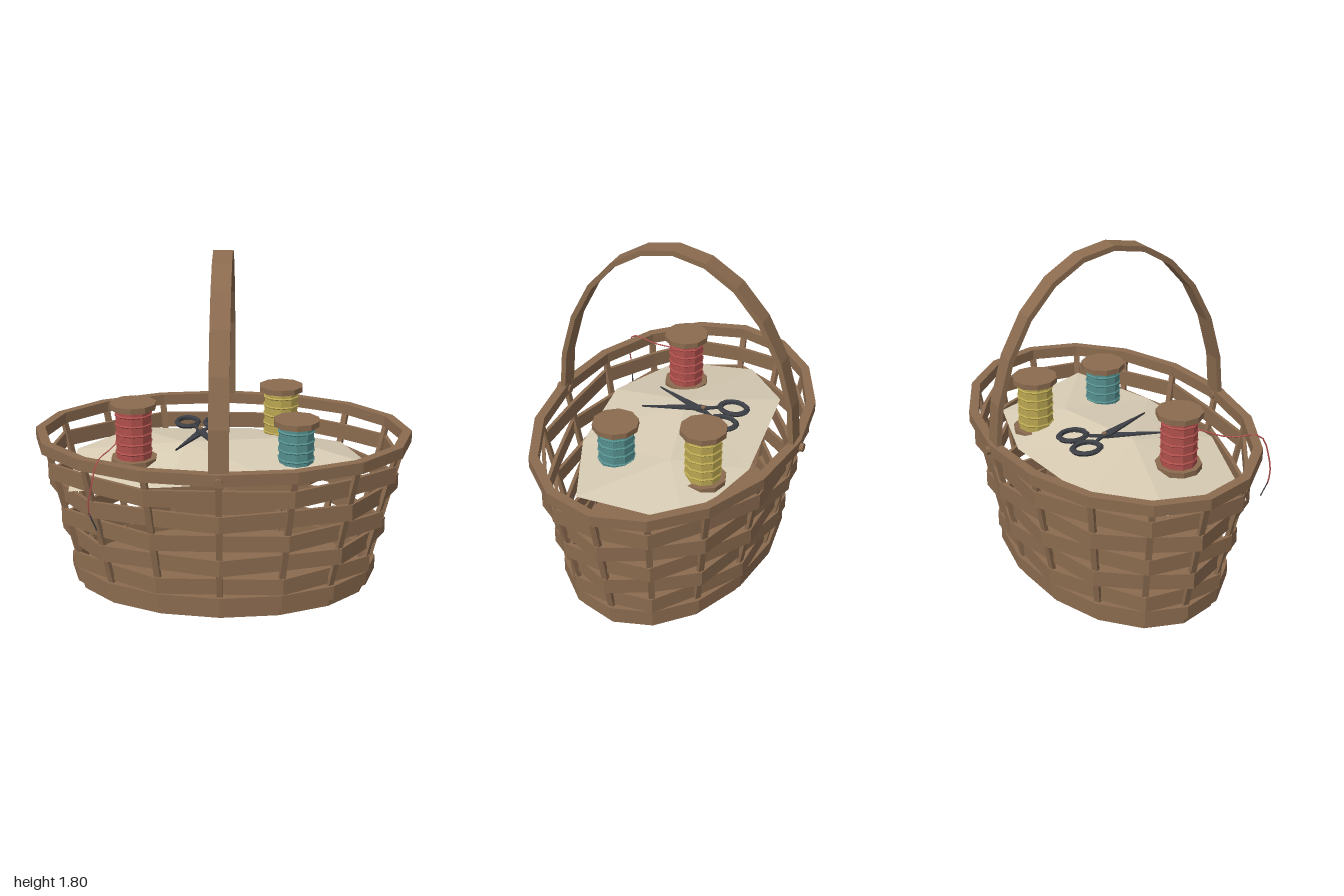
import * as THREE from 'three';

const SIDES = 16;

const mat = (name, color) => {
  const m = new THREE.MeshStandardMaterial({ color, flatShading: true });
  m.name = name;
  return m;
};

// Point list of a 16-sided oval; offset(i) pushes each corner in or out
function oval(rx, rz, offset = () => 0) {
  return Array.from({ length: SIDES }, (_, i) => {
    const a = (i / SIDES) * Math.PI * 2, o = offset(i);
    return new THREE.Vector2((rx + o) * Math.cos(a), (rz + o) * Math.sin(a));
  });
}

// Upright oval wall between y0 and y1, solid when there is no thickness
function ovalBand(rx, rz, y0, y1, thickness, offset) {
  const shape = new THREE.Shape(oval(rx, rz, offset));
  if (thickness) shape.holes.push(new THREE.Path(oval(rx - thickness, rz - thickness, offset)));
  const g = new THREE.ExtrudeGeometry(shape, { depth: y1 - y0, bevelEnabled: false });
  return g.rotateX(-Math.PI / 2).translate(0, y0, 0);
}

export function createModel() {
  const wood = mat('wood', 0x8b6b4f);
  const red = mat('red thread', 0xb0504c);
  const yellow = mat('yellow thread', 0xbba752);
  const teal = mat('teal thread', 0x55908f);
  const linen = mat('linen', 0xd8ccb4);
  linen.side = THREE.DoubleSide;
  const iron = mat('dark iron', 0x3c3f45);

  const model = new THREE.Group();
  model.name = 'sewingBasket';
  const add = (name, geometry, material, parent = model) => {
    const m = new THREE.Mesh(geometry, material);
    m.name = name;
    parent.add(m);
    return m;
  };

  // Base, foot band and rim
  add('base', ovalBand(0.795, 0.525, 0, 0.055), wood);
  add('footBand', ovalBand(0.83, 0.56, 0.05, 0.125, 0.04), wood);
  add('rim', ovalBand(1, 0.7, 0.785, 0.845, 0.05), wood);

  // Woven bands, passing in and out of alternate stakes
  [0.178, 0.307, 0.437, 0.563, 0.692].forEach((y, row) => {
    const weave = i => ((i + row) % 2 ? 0.021 : -0.021);
    add('wovenBand', ovalBand(0.782 + 0.24 * y, 0.517 + 0.2 * y, y - 0.043, y + 0.043, 0.02, weave), wood);
  });

  // Leaning stakes at every corner
  for (let i = 0; i < SIDES; i++) {
    const a = (i / SIDES) * Math.PI * 2;
    const at = y => new THREE.Vector3((0.772 + 0.24 * y) * Math.cos(a), y, (0.507 + 0.2 * y) * Math.sin(a));
    const low = at(0.04), high = at(0.81);
    const up = high.clone().sub(low);
    const length = up.length();
    up.normalize();
    const out = new THREE.Vector3(Math.cos(a) / 0.9, 0, Math.sin(a) / 0.62).normalize();
    const side = up.clone().cross(out).normalize();
    const stake = add('stake', new THREE.BoxGeometry(0.032, length, 0.022), wood);
    stake.quaternion.setFromRotationMatrix(new THREE.Matrix4().makeBasis(side, up, side.clone().cross(up)));
    stake.position.copy(low).add(high).multiplyScalar(0.5);
  }

  // Arched handle
  const arch = (rx, ry) => Array.from({ length: 13 }, (_, i) => {
    const a = (i / 12) * Math.PI;
    return new THREE.Vector2(rx * Math.cos(a), 0.8 + ry * Math.sin(a));
  });
  const archShape = new THREE.Shape([...arch(0.68, 1), ...arch(0.652, 0.972).reverse()]);
  const archGeometry = new THREE.ExtrudeGeometry(archShape, { depth: 0.1, bevelEnabled: false });
  add('handle', archGeometry.translate(0, 0, -0.05).rotateY(Math.PI / 2), wood);
  for (const s of [1, -1]) {
    add('handlePeg', new THREE.CylinderGeometry(0.023, 0.023, 0.08, 8).rotateX(Math.PI / 2), wood)
      .position.set(0, 0.808, s * 0.678);
  }

  // Folded cloth lining: eight corners around two peaks
  const cloth = new THREE.BufferGeometry();
  cloth.setAttribute('position', new THREE.Float32BufferAttribute([
    -0.80, 0.68, -0.12, -0.52, 0.71, -0.40, 0.14, 0.69, -0.476, 0.65, 0.66, -0.34,
    0.76, 0.73, 0.20, 0.30, 0.71, 0.41, -0.25, 0.70, 0.49, -0.78, 0.62, 0.36,
    -0.20, 0.78, 0.03, 0.32, 0.76, -0.11,
  ], 3));
  const faces = [8, 9, 2, 8, 5, 9];
  for (const i of [5, 6, 7, 0, 1]) faces.push(8, (i + 1) % 8, i);
  for (const i of [2, 3, 4]) faces.push(9, i + 1, i);
  cloth.setIndex(faces);
  cloth.computeVertexNormals();
  add('cloth', cloth, linen);

  // Thread spools
  const spool = (name, x, top, z, thread) => {
    const g = new THREE.Group();
    g.name = name;
    g.position.set(x, top - 0.325, z);
    model.add(g);
    for (const y of [0.015, 0.31]) {
      add('flange', new THREE.CylinderGeometry(0.122, 0.122, 0.03, 10), wood, g).position.y = y;
    }
    add('threadCore', new THREE.CylinderGeometry(0.094, 0.094, 0.27, 10), thread, g).position.y = 0.163;
    for (let i = 0; i < 5; i++) {
      const ring = new THREE.TorusGeometry(0.094, 0.006, 4, 10).rotateX(Math.PI / 2).rotateY(Math.PI / 10 * 5);
      add('threadWinding', ring, thread, g).position.y = 0.065 + i * 0.05;
    }
  };
  spool('redSpool', -0.46, 1.035, 0.15, red);
  spool('yellowSpool', 0.31, 1.005, -0.29, yellow);
  spool('tealSpool', 0.385, 0.958, 0.165, teal);

  // Open scissors, two mirrored halves crossing at the pivot
  const scissors = new THREE.Group();
  scissors.name = 'scissors';
  scissors.position.set(-0.125, 0.79, -0.1);
  model.add(scissors);
  for (const s of [1, -1]) {
    const blade = new THREE.Shape([
      [s * 0.06, 0.08], [s * 0.035, 0.07], [-s * 0.022, -0.01],
      [-s * 0.115, -0.31], [s * 0.022, -0.03], [s * 0.025, 0.02],
    ].map(p => new THREE.Vector2(...p)));
    const g = new THREE.ExtrudeGeometry(blade, { depth: 0.01, bevelEnabled: false }).rotateX(-Math.PI / 2);
    add('scissorBlade', g, iron, scissors).position.y = s > 0 ? 0 : 0.01;
    const loop = add('scissorLoop', new THREE.TorusGeometry(0.06, 0.014, 5, 14).rotateX(Math.PI / 2), iron, scissors);
    loop.scale.z = 1.25;
    loop.position.set(s * 0.078, 0.01, -0.145);
  }
  add('scissorPivot', new THREE.CylinderGeometry(0.013, 0.013, 0.03, 8), wood, scissors).position.y = 0.012;

  // Loose thread trailing over the rim, with a needle at its end
  const path = new THREE.CatmullRomCurve3([
    [-0.48, 0.91, 0.25], [-0.55, 0.865, 0.39], [-0.6, 0.85, 0.555],
    [-0.63, 0.72, 0.595], [-0.645, 0.65, 0.595], [-0.64, 0.58, 0.585],
  ].map(p => new THREE.Vector3(...p)));
  add('looseThread', new THREE.TubeGeometry(path, 14, 0.004, 4), red);
  const needle = new THREE.LineCurve3(new THREE.Vector3(-0.645, 0.6, 0.588), new THREE.Vector3(-0.61, 0.5, 0.57));
  add('needle', new THREE.TubeGeometry(needle, 1, 0.004, 4), iron);

  return model;
}
